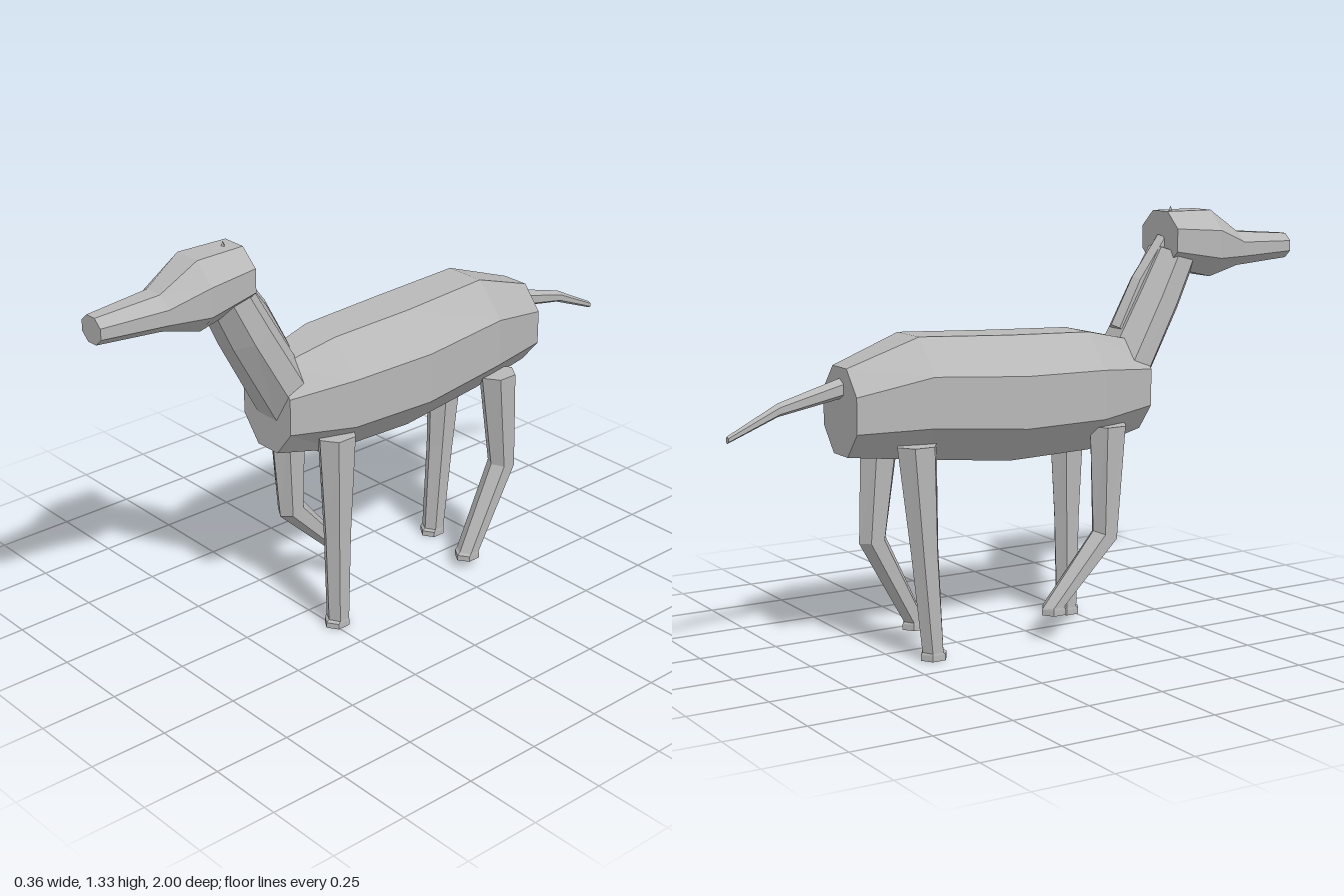
import * as THREE from 'three';

const grey = new THREE.MeshStandardMaterial({ color: 0xb8b8b8 });
grey.name = 'plain grey';

// Faceted loft through rings. Each ring: [y, z, halfWidth, halfHeight, pitch in degrees].
// Pitch 0 faces +z, 90 faces up, -90 faces down.
function loft(name, rings, sides, x = 0) {
  const angles = Array.from({ length: sides }, (_, i) => ((i + 0.5) / sides) * Math.PI * 2);
  const maxC = Math.max(...angles.map(Math.cos));
  const maxS = Math.max(...angles.map(Math.sin));
  const points = rings.map(([y, z, hw, hh, pitch = 0]) => {
    const p = THREE.MathUtils.degToRad(pitch);
    return angles.map((a) => {
      const h = (Math.sin(a) / maxS) * hh;
      return [x + (Math.cos(a) / maxC) * hw, y + h * Math.cos(p), z - h * Math.sin(p)];
    });
  });
  const out = [];
  const tri = (a, b, c) => out.push(...a, ...b, ...c);
  for (let r = 0; r + 1 < rings.length; r++) {
    for (let i = 0; i < sides; i++) {
      const j = (i + 1) % sides;
      const a = points[r], b = points[r + 1];
      tri(a[i], a[j], b[j]);
      tri(a[i], b[j], b[i]);
    }
  }
  // End caps
  const first = points[0], last = points[points.length - 1];
  for (let i = 1; i + 1 < sides; i++) {
    tri(first[0], first[i + 1], first[i]);
    tri(last[0], last[i], last[i + 1]);
  }
  const geometry = new THREE.BufferGeometry();
  geometry.setAttribute('position', new THREE.Float32BufferAttribute(out, 3));
  geometry.computeVertexNormals();
  const mesh = new THREE.Mesh(geometry, grey);
  mesh.name = name;
  return mesh;
}

// Six-sided leg from hip to knee to ankle, ending in a slightly flared foot
function leg(name, side, hipZ, knee, foot) {
  const [kneeY, kneeZ, kneePitch] = knee;
  const [footY, footZ] = foot;
  return loft(name, [
    [0.66, hipZ, 0.05, 0.066, -90],
    [kneeY, kneeZ, 0.038, 0.046, kneePitch],
    [footY + 0.025, footZ, 0.033, 0.036, -90],
    [footY + 0.018, footZ + 0.003, 0.034, 0.044, -90],
    [footY, footZ + 0.003, 0.034, 0.044, -90],
  ], 6, side * 0.119);
}

export function createModel() {
  const model = new THREE.Group();
  model.name = 'animal';

  // Trunk, from rump to chest
  model.add(loft('body', [
    [0.762, -0.64, 0.11, 0.132],
    [0.79, -0.41, 0.165, 0.185],
    [0.766, -0.1, 0.18, 0.194],
    [0.764, 0.19, 0.166, 0.186],
    [0.764, 0.4, 0.11, 0.14],
  ], 8));

  // Neck rising forward out of the chest
  model.add(loft('neck', [
    [0.77, 0.33, 0.107, 0.08, 61],
    [1.035, 0.48, 0.093, 0.076, 63],
    [1.17, 0.55, 0.084, 0.07, 66],
  ], 8));

  // Narrow crest along the back of the neck
  model.add(loft('crest', [
    [0.94, 0.345, 0.03, 0.03, 56],
    [1.09, 0.425, 0.026, 0.03, 56],
    [1.22, 0.52, 0.024, 0.028, 56],
  ], 6));

  // Head and muzzle
  model.add(loft('head', [
    [1.222, 0.505, 0.097, 0.088],
    [1.203, 0.67, 0.11, 0.107],
    [1.18, 0.79, 0.073, 0.055],
    [1.18, 1.0, 0.045, 0.04],
  ], 8));

  // Tiny tuft on the crown
  const tuft = new THREE.Mesh(new THREE.ConeGeometry(0.014, 0.03, 4).toNonIndexed(), grey);
  tuft.geometry.computeVertexNormals();
  tuft.name = 'tuft';
  tuft.position.set(0, 1.31, 0.545);
  model.add(tuft);

  // Tail, from tip to root
  model.add(loft('tail', [
    [0.71, -1.0, 0.009, 0.011],
    [0.783, -0.84, 0.018, 0.02],
    [0.835, -0.62, 0.027, 0.032],
  ], 6));

  // Legs in mid stride
  model.add(leg('frontLeftLeg', 1, 0.23, [0.33, 0.23, -90], [0, 0.23]));
  model.add(leg('frontRightLeg', -1, 0.23, [0.31, 0.22, -112], [0.08, 0.03]));
  model.add(leg('backLeftLeg', 1, -0.448, [0.33, -0.478, -82], [0.03, -0.335]));
  model.add(leg('backRightLeg', -1, -0.448, [0.33, -0.425, -88], [0, -0.4]));
  return model;
}
